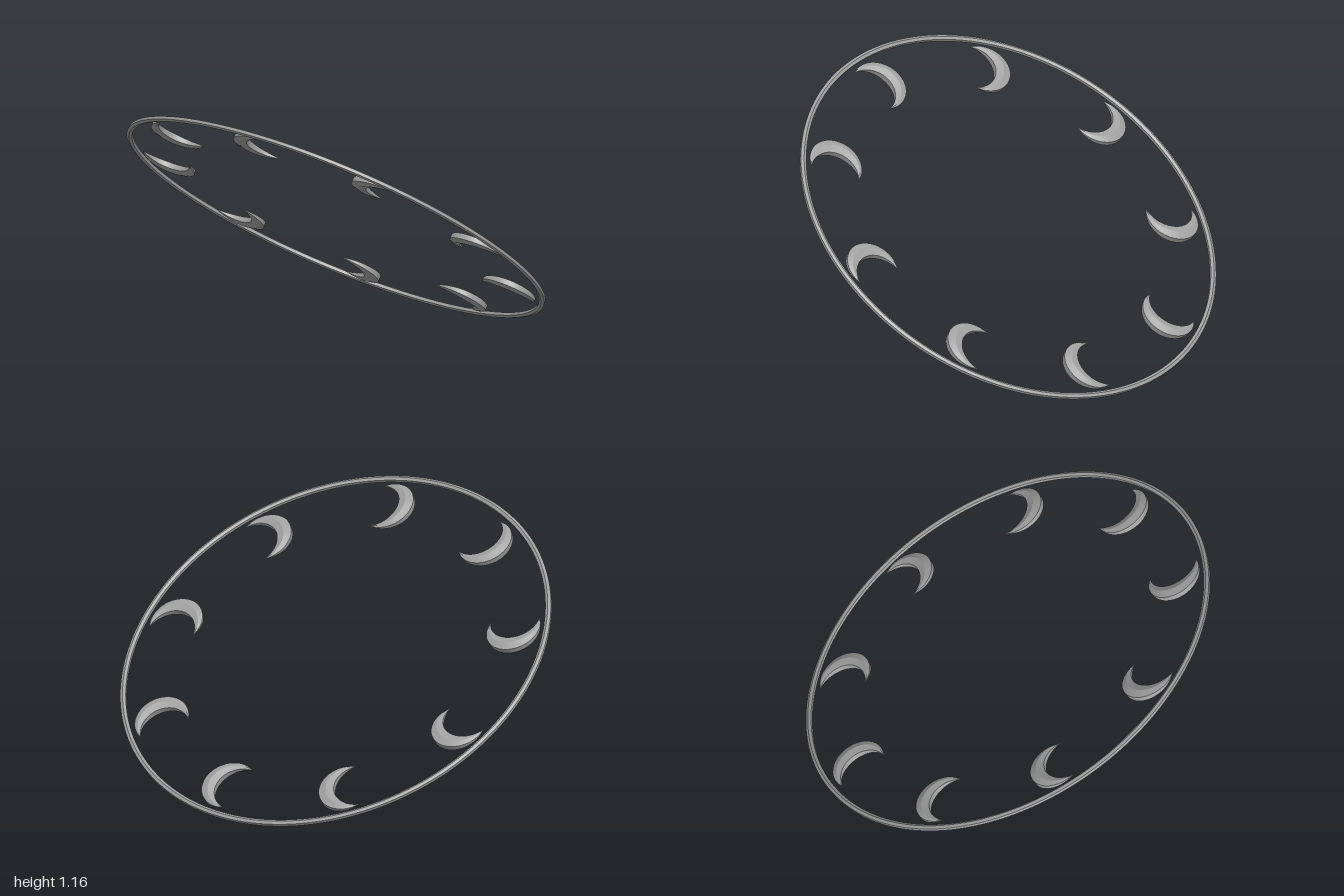
import * as THREE from 'three';

const grey = new THREE.MeshStandardMaterial({ color: 0xa0a0a0 });
grey.name = 'stone grey';

// Joins six-sided cross-sections into a skin with crisp ridges.
function sweep(sections) {
  const n = sections[0].length, pos = [], idx = [];
  sections.forEach(s => s.forEach(p => pos.push(...p)));
  for (let i = 0; i < sections.length - 1; i++) {
    for (let j = 0; j < n; j++) {
      const a = i * n + j, b = i * n + (j + 1) % n;
      idx.push(a, b, b + n, a, b + n, a + n);
    }
  }
  const g = new THREE.BufferGeometry();
  g.setAttribute('position', new THREE.Float32BufferAttribute(pos, 3));
  g.setIndex(idx);
  const flat = g.toNonIndexed();
  flat.computeVertexNormals();
  return flat;
}

// Hexagon between an outer and an inner point, ridged above and below.
function hexSection([ox, oz], [ix, iz], wall, ridge) {
  const mx = (ox + ix) / 2, mz = (oz + iz) / 2;
  return [
    [ox, -wall, oz], [ox, wall, oz], [mx, ridge, mz],
    [ix, wall, iz], [ix, -wall, iz], [mx, -ridge, mz],
  ];
}

const onCircle = (cx, r, a) => [cx + r * Math.cos(a), r * Math.sin(a)];

function ringGeometry() {
  const sections = [], steps = 160;
  for (let i = 0; i <= steps; i++) {
    const a = (i / steps) * Math.PI * 2;
    sections.push(hexSection(onCircle(0, 1, a), onCircle(0, 0.974, a), 0.007, 0.013));
  }
  return sweep(sections);
}

// Crescent opening towards +x, tapering to a point at both tips.
function crescentGeometry() {
  const sections = [], steps = 48;
  const outerStart = 1.115, innerStart = 1.597;
  for (let i = 0; i <= steps; i++) {
    const t = i / steps;
    const a = THREE.MathUtils.lerp(outerStart, 2 * Math.PI - outerStart, t);
    const b = THREE.MathUtils.lerp(innerStart, 2 * Math.PI - innerStart, t);
    const h = Math.max(0.06, Math.sin(Math.PI * t));
    sections.push(hexSection(onCircle(0.005, 0.125, a), onCircle(0.063, 0.113, b), 0.013 * h, 0.023 * h));
  }
  return sweep(sections);
}

export function createModel() {
  const model = new THREE.Group();
  model.name = 'crescentRing';

  // Everything lies in one tilted plane
  const disc = new THREE.Group();
  disc.name = 'tiltedDisc';
  disc.rotation.z = -THREE.MathUtils.degToRad(35);
  disc.position.y = 0.583;
  model.add(disc);

  const ring = new THREE.Mesh(ringGeometry(), grey);
  ring.name = 'ring';
  disc.add(ring);

  // Nine crescents evenly spaced inside the ring
  const geometry = crescentGeometry();
  const count = 9;
  for (let k = 0; k < count; k++) {
    const spoke = new THREE.Group();
    spoke.name = `crescentSpoke${k + 1}`;
    spoke.rotation.y = (k / count) * Math.PI * 2;
    const crescent = new THREE.Mesh(geometry, grey);
    crescent.name = `crescent${k + 1}`;
    crescent.position.z = 0.83;
    spoke.add(crescent);
    disc.add(spoke);
  }
  return model;
}
